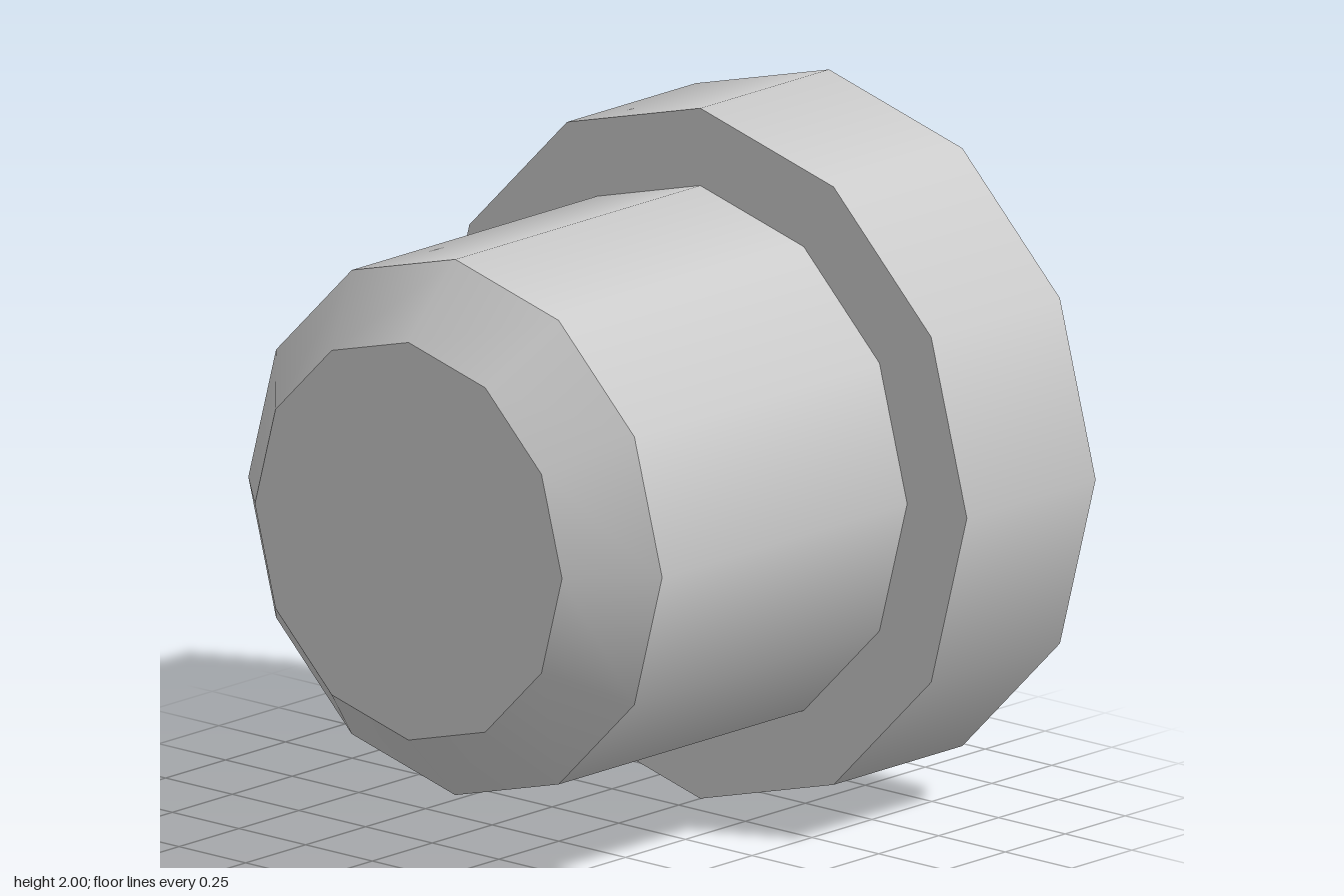
import * as THREE from 'three';

const SIDES = 12;

export function createModel() {
  const group = new THREE.Group();
  group.name = 'flangedCap';

  // Thin open shell, so the inside shows from the back
  const grey = new THREE.MeshStandardMaterial({ color: 0xcccccc, side: THREE.DoubleSide });
  grey.name = 'light grey';

  const add = (name, geometry, z) => {
    const mesh = new THREE.Mesh(geometry, grey);
    mesh.name = name;
    mesh.position.set(0, 1, z);
    group.add(mesh);
  };

  // Open tube along z, from the back radius to the front radius
  const wall = (name, backRadius, frontRadius, back, front) => {
    const geometry = new THREE.CylinderGeometry(frontRadius, backRadius, front - back, SIDES, 1, true);
    geometry.rotateX(Math.PI / 2);
    add(name, geometry, (back + front) / 2);
  };

  const collarR = 1, barrelR = 0.776, noseR = 0.576;
  const back = -0.877, step = -0.34, shoulder = 0.682, front = 0.877;

  wall('collar', collarR, collarR, back, step);
  add('collarStep', new THREE.RingGeometry(barrelR, collarR, SIDES), step);
  wall('barrel', barrelR, barrelR, step, shoulder);
  wall('chamfer', barrelR, noseR, shoulder, front);
  add('frontFace', new THREE.CircleGeometry(noseR, SIDES), front);

  return group;
}
